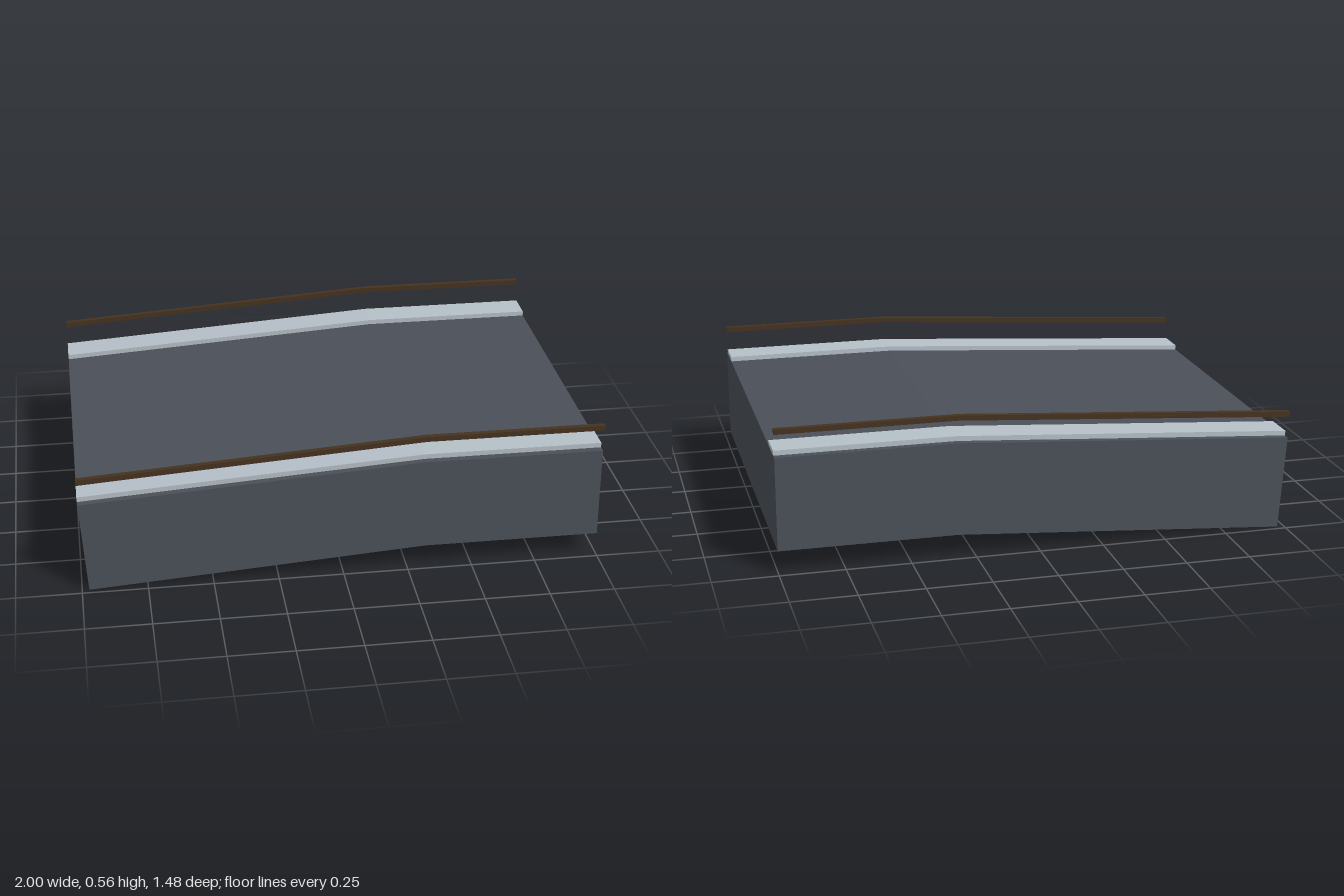
import * as THREE from 'three';

const concrete = new THREE.MeshStandardMaterial({ name: 'dark asphalt', color: 0x4b5059 });
const paving = new THREE.MeshStandardMaterial({ name: 'pale paving', color: 0xb6c0c8 });
const wood = new THREE.MeshStandardMaterial({ name: 'brown rail', color: 0x463320 });

// Extrude a side profile (x, y) between two z positions
function slab(name, profile, z0, z1, material) {
  const shape = new THREE.Shape(profile.map(([x, y]) => new THREE.Vector2(x, y)));
  const geometry = new THREE.ExtrudeGeometry(shape, { depth: z1 - z0, bevelEnabled: false });
  geometry.translate(0, 0, z0);
  const mesh = new THREE.Mesh(geometry, material);
  mesh.name = name;
  return mesh;
}

// Band following the sloped, then level deck line
const band = (lowBottom, lowTop, highBottom, highTop) => [
  [-0.999, lowBottom], [0.315, highBottom], [1, highBottom],
  [1, highTop], [0.313, highTop], [-1, lowTop],
];

export function createModel() {
  const group = new THREE.Group();
  group.name = 'bridgeRamp';

  // Thick deck with its low end cut square to the slope
  const deck = [[-0.973, 0], [0.322, 0.089], [1, 0.089], [1, 0.452], [0.313, 0.452], [-0.999, 0.367]];
  group.add(slab('deck', deck, -0.729, 0.729, concrete));

  // Raised walkway and floating handrail along each side
  for (const [side, s] of [['left', 1], ['right', -1]]) {
    const strip = (name, profile, inner, outer, material) =>
      slab(side + name, profile, Math.min(s * inner, s * outer), Math.max(s * inner, s * outer), material);
    group.add(strip('Walkway', band(0.367, 0.386, 0.452, 0.471), 0.575, 0.701, paving));
    group.add(strip('Handrail', band(0.455, 0.476, 0.543, 0.563), 0.717, 0.738, wood));
  }
  return group;
}
